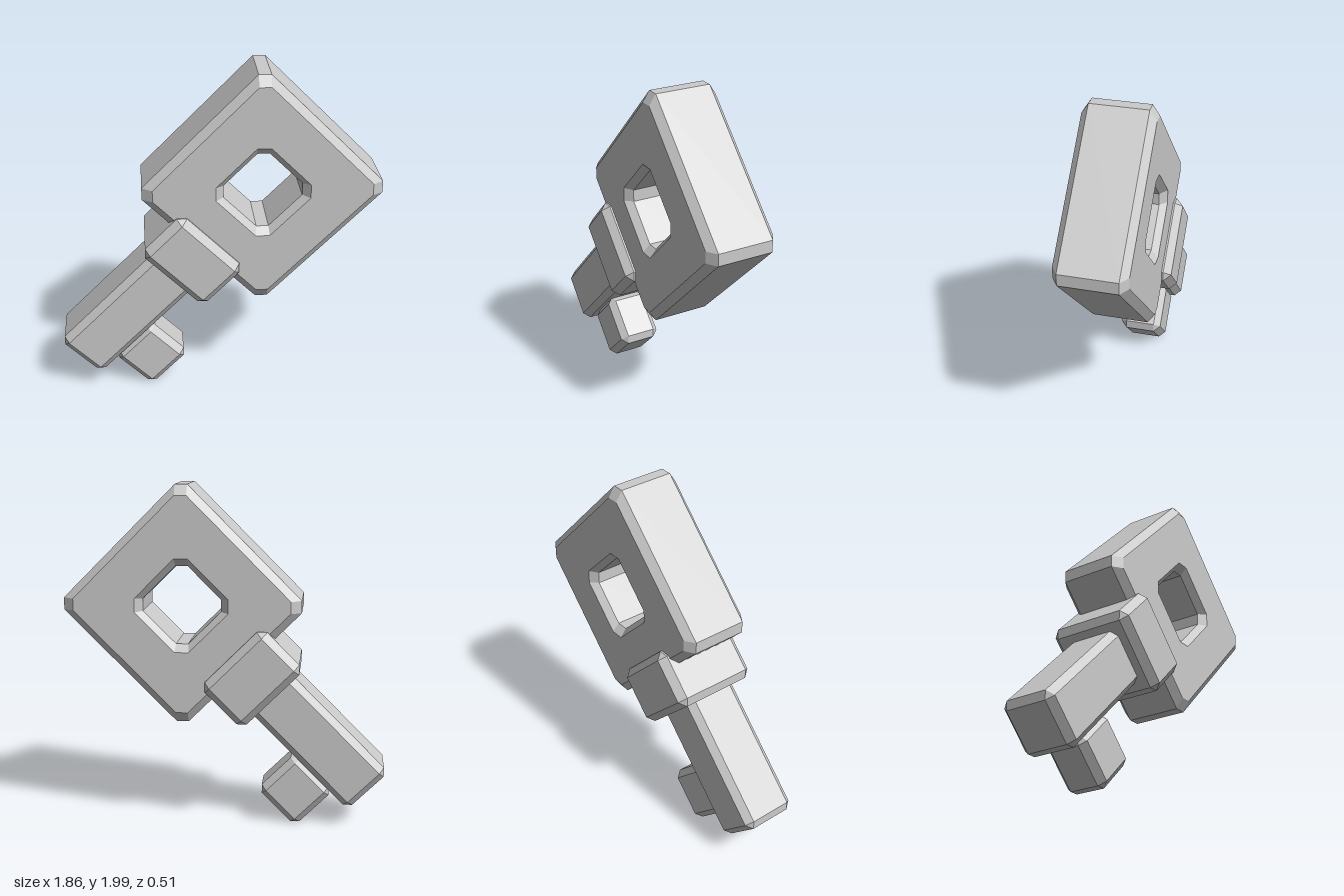
import * as THREE from 'three';
import { ConvexGeometry } from 'three/addons/geometries/ConvexGeometry.js';

const material = new THREE.MeshStandardMaterial({ color: 0xcccccc, flatShading: true });

// Box with every edge chamfered by b; sizes are half extents
function chamferBox(hx, hy, hz, b) {
  const points = [];
  for (const sx of [-1, 1]) for (const sy of [-1, 1]) for (const sz of [-1, 1]) {
    points.push(
      new THREE.Vector3(sx * hx, sy * (hy - b), sz * (hz - b)),
      new THREE.Vector3(sx * (hx - b), sy * hy, sz * (hz - b)),
      new THREE.Vector3(sx * (hx - b), sy * (hy - b), sz * hz));
  }
  return new ConvexGeometry(points);
}

// Square outline with cut corners, counter-clockwise
function cutSquare(half, cut, z) {
  const k = half - cut;
  return [[half, -k], [half, k], [k, half], [-k, half], [-half, k], [-half, -k], [-k, -half], [k, -half]]
    .map(([x, y]) => [x, y, z]);
}

// Closed loop of outlines: out over the rim, across the front, through the hole, across the back
function bowGeometry() {
  const rings = [
    cutSquare(0.51, 0.05, -0.165),
    cutSquare(0.51, 0.05, 0.165),
    cutSquare(0.466, 0.048, 0.205),
    cutSquare(0.219, 0.057, 0.205),
    cutSquare(0.184, 0.05, 0.165),
    cutSquare(0.184, 0.05, -0.165),
    cutSquare(0.219, 0.057, -0.205),
    cutSquare(0.466, 0.048, -0.205),
  ];
  const positions = [];
  rings.forEach((ring, i) => {
    const next = rings[(i + 1) % rings.length];
    for (let j = 0; j < 8; j++) {
      const k = (j + 1) % 8;
      positions.push(...ring[j], ...ring[k], ...next[k], ...ring[j], ...next[k], ...next[j]);
    }
  });
  const geometry = new THREE.BufferGeometry();
  geometry.setAttribute('position', new THREE.Float32BufferAttribute(positions, 3));
  geometry.computeVertexNormals();
  return geometry;
}

export function createModel() {
  const model = new THREE.Group();
  model.name = 'key';

  // The key lies along local x, then leans 45 degrees
  const body = new THREE.Group();
  body.name = 'keyBody';
  body.rotation.z = Math.PI / 4;
  model.add(body);

  const add = (name, geometry, x, y) => {
    const mesh = new THREE.Mesh(geometry, material);
    mesh.name = name;
    mesh.position.set(x, y, 0);
    body.add(mesh);
  };

  add('bow', bowGeometry(), 1.096, 0.757);
  add('collar', chamferBox(0.172, 0.253, 0.257, 0.042), 0.518, 0.753);
  add('shaft', chamferBox(0.471, 0.166, 0.166, 0.039), 0.029, 0.753);
  add('tooth', chamferBox(0.159, 0.159, 0.127, 0.038), -0.154, 0.437);

  return model;
}
